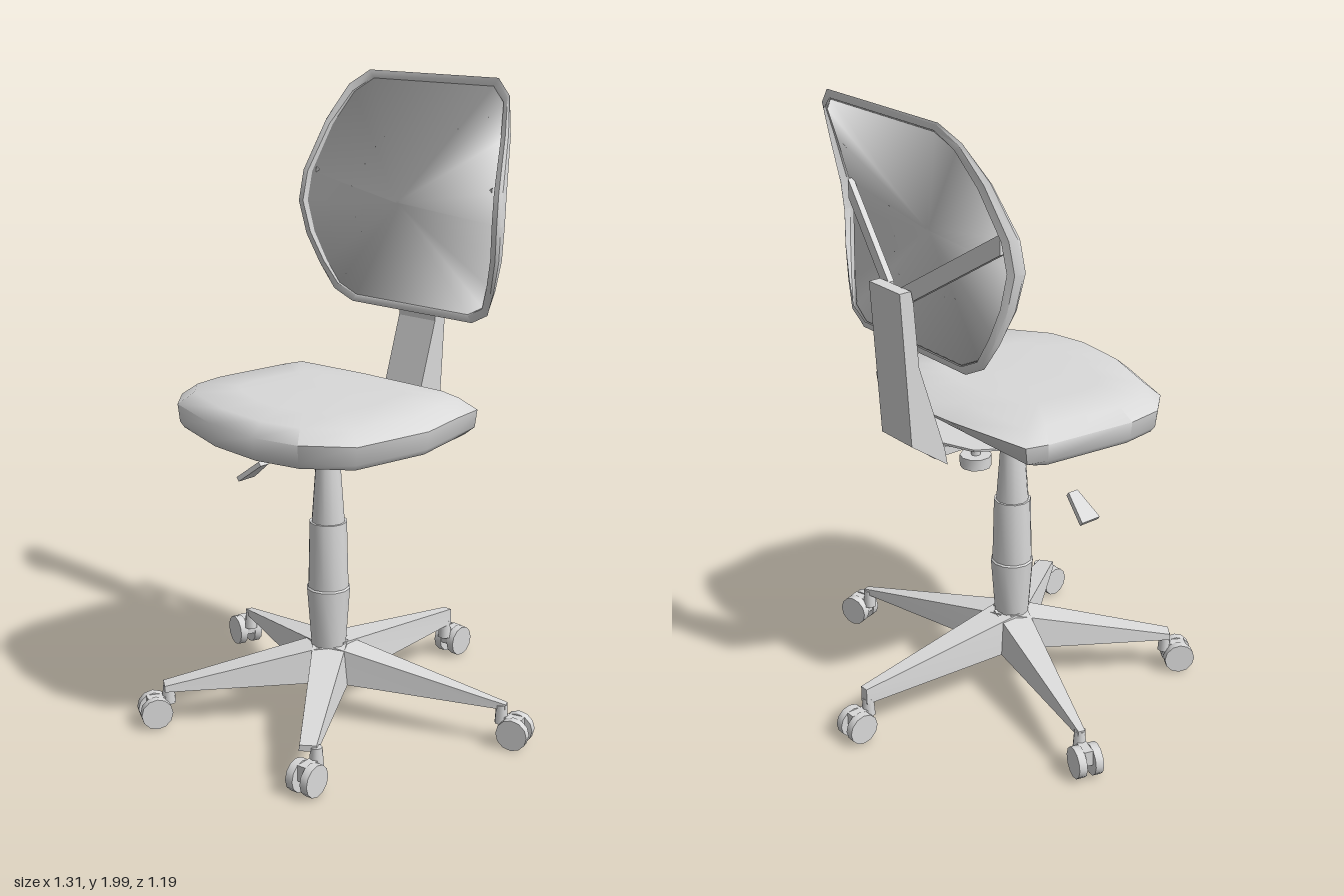
import * as THREE from 'three';
import { toCreasedNormals } from 'three/addons/utils/BufferGeometryUtils.js';

const grey = new THREE.MeshStandardMaterial({ color: 0xd9d9d9, side: THREE.DoubleSide });
grey.name = 'light grey';

function add(parent, name, geometry, x = 0, y = 0, z = 0) {
  const mesh = new THREE.Mesh(geometry, grey);
  mesh.name = name;
  mesh.position.set(x, y, z);
  parent.add(mesh);
  return mesh;
}

// Skin a row of equal-length rings, counter-clockwise seen from the end of the row
function loft(rings, capStart = true, capEnd = true, crease = 0.6) {
  const pos = [], index = [], n = rings[0].length;
  rings.forEach(r => r.forEach(p => pos.push(...p)));
  for (let k = 0; k < rings.length - 1; k++) {
    for (let i = 0; i < n; i++) {
      const a = k * n + i, b = k * n + (i + 1) % n;
      index.push(a, b, b + n, a, b + n, a + n);
    }
  }
  const cap = (k, flip) => {
    const c = pos.length / 3;
    pos.push(...[0, 1, 2].map(j => rings[k].reduce((s, p) => s + p[j], 0) / n));
    for (let i = 0; i < n; i++) {
      const a = k * n + i, b = k * n + (i + 1) % n;
      index.push(c, flip ? b : a, flip ? a : b);
    }
  };
  if (capStart) cap(0, true);
  if (capEnd) cap(rings.length - 1, false);
  const g = new THREE.BufferGeometry();
  g.setAttribute('position', new THREE.Float32BufferAttribute(pos, 3));
  g.setIndex(index);
  return toCreasedNormals(g, crease);
}

const ellipse = (rx, rz, y, cz, n = 10) => Array.from({ length: n }, (_, i) => {
  const a = (i + 0.5) / n * Math.PI * 2;
  return [rx * Math.cos(a), y, cz - rz * Math.sin(a)];
});

// Twin-wheel caster, rolling along its local z
function makeCaster() {
  const caster = new THREE.Group();
  caster.name = 'caster';
  for (const s of [-1, 1]) {
    const wheel = new THREE.CylinderGeometry(0.05, 0.05, 0.026, 12).rotateZ(Math.PI / 2);
    add(caster, 'wheel', toCreasedNormals(wheel, 0.7), s * 0.027, 0.055, 0);
  }
  add(caster, 'casterBody', new THREE.BoxGeometry(0.03, 0.05, 0.07), 0, 0.075, -0.01);
  add(caster, 'casterStem', new THREE.CylinderGeometry(0.018, 0.022, 0.06, 8), 0, 0.105, -0.045);
  return caster;
}

export function createModel() {
  const chair = new THREE.Group();
  chair.name = 'officeChair';

  // Five-legged base: leg reach, half width and height at the tip, caster swivel
  const base = new THREE.Group();
  base.name = 'base';
  base.position.z = 0.08;
  chair.add(base);
  const section = (bottom, top, yb, yt, z) =>
    [[bottom, yb, z], [top, yt, z], [-top, yt, z], [-bottom, yb, z]];
  const rear = { reach: 0.62, tip: 0.016, top: 0.175, swivel: 0 };
  const sideLeg = { reach: 0.625, tip: 0.012, top: 0.14, swivel: 0 };
  const frontLeft = { reach: 0.565, tip: 0.028, top: 0.142, swivel: -0.55 };
  const frontRight = { ...frontLeft, swivel: 0.1 };
  [rear, sideLeg, frontRight, frontLeft, sideLeg].forEach((leg, i) => {
    const arm = new THREE.Group();
    arm.name = 'baseArm';
    arm.rotation.y = Math.PI + i * Math.PI * 2 / 5;
    base.add(arm);
    add(arm, 'leg', loft([
      section(0.07, 0.055, 0.13, 0.25, 0),
      section(leg.tip, leg.tip * 0.9, 0.123, leg.top, leg.reach - 0.03),
    ]));
    const caster = makeCaster();
    caster.position.z = leg.reach;
    caster.rotation.y = leg.swivel;
    arm.add(caster);
  });

  // Telescopic column
  const profile = [[0.056, 0.24], [0.07, 0.43], [0.065, 0.435], [0.06, 0.65],
    [0.053, 0.65], [0.04, 0.83], [0.028, 0.835], [0.03, 0.9]];
  add(chair, 'column', toCreasedNormals(
    new THREE.LatheGeometry(profile.map(p => new THREE.Vector2(...p)), 12), 0.6), 0, 0, 0.09);

  // Support dish beneath the seat
  add(chair, 'seatSupport', loft([
    ellipse(0.045, 0.045, 0.87, 0.085), ellipse(0.22, 0.265, 0.933, 0.045),
    ellipse(0.22, 0.265, 0.94, 0.045),
  ]));

  // Seat cushion with upright sides, thinning to an edge at the rear
  const outline = [[-0.37, -0.17], [-0.08, -0.22], [0.13, -0.24], [0.29, -0.21], [0.385, -0.16],
    [0.4, -0.04], [0.43, 0.12], [0.385, 0.38], [0.25, 0.48], [0.1, 0.51], [-0.1, 0.49],
    [-0.33, 0.41], [-0.41, 0.32], [-0.425, 0.2], [-0.39, -0.1]];
  const seatRing = (s, y, back) => outline.map(([x, z]) =>
    [x * s, y, Math.max(0.14 + (z - 0.14) * s, back)]);
  add(chair, 'seat', loft([seatRing(0.55, 1.075, -0.1), seatRing(0.88, 1.067, -0.15),
    seatRing(1, 1.03, -0.24), seatRing(0.985, 0.975, -0.16),
    seatRing(0.955, 0.957, -0.12)], true, true, 1.05));

  // Bar and tightening knob under the rear of the seat
  add(chair, 'backBar', new THREE.BoxGeometry(0.08, 0.03, 0.22), 0, 0.917, -0.14);
  add(chair, 'knobStem', new THREE.CylinderGeometry(0.015, 0.015, 0.07, 8), 0, 0.875, -0.06);
  add(chair, 'knob', toCreasedNormals(
    new THREE.CylinderGeometry(0.05, 0.05, 0.037, 10), 0.7), 0, 0.83, -0.06);

  // Height lever paddle
  const lever = add(chair, 'lever', loft([
    [[0.045, -0.008, 0.018], [0.045, 0.008, 0.018], [0.045, 0.008, -0.018], [0.045, -0.008, -0.018]],
    [[-0.062, -0.008, 0.036], [-0.062, 0.008, 0.036], [-0.062, 0.008, -0.036], [-0.062, -0.008, -0.036]],
  ]), -0.32, 0.75, 0.09);
  lever.rotation.z = 0.66;

  // Upright post, drawn from the side
  const side = [[-0.352, 1.47], [-0.344, 1.43], [-0.328, 1.23], [-0.238, 0.945],
    [-0.228, 0.89], [-0.36, 0.985], [-0.392, 1.47]];
  const post = new THREE.ExtrudeGeometry(
    new THREE.Shape(side.map(p => new THREE.Vector2(...p))), { depth: 0.15, bevelEnabled: false });
  add(chair, 'backPost', post.rotateY(-Math.PI / 2).translate(0.075, 0, 0));

  // Backrest frame: bowed in height, deepest at mid height, with an inner lip
  const half = [[0.25, 1.255], [0.32, 1.29], [0.36, 1.37], [0.395, 1.47], [0.412, 1.58],
    [0.405, 1.68], [0.37, 1.84], [0.325, 1.95], [0.26, 1.997]];
  const loop = [...half, ...half.map(([x, y]) => [-x, y]).reverse()];
  const bow = y => y > 1.6 ? -0.205 - 0.185 * ((y - 1.6) / 0.4) ** 1.5
    : -0.205 - 0.09 * ((1.6 - y) / 0.35) ** 1.6;
  const backRing = (s, depth) => loop.map(([x, y]) => {
    const thin = 1.05 - ((y - 1.62) / 0.38) ** 2;
    return [x * s, 1.61 + (y - 1.61) * s, bow(y) - depth * thin];
  });
  add(chair, 'backFrame', loft([backRing(0.94, 0.05), backRing(0.985, 0.038), backRing(1, 0.012),
    backRing(0.985, 0), backRing(0.94, 0), backRing(0.93, 0.02)], false, false, 0.7));

  // Thin backrest panel: front and back sheets meeting in one rounded edge
  const hub = z => loop.map(([x, y]) => [x * 0.02, 1.61 + (y - 1.61) * 0.02, z]);
  add(chair, 'backPanel', loft([hub(-0.234), backRing(0.935, 0.018), hub(-0.228)],
    true, true, Math.PI));

  // Two arms spreading from the post to the sides of the backrest
  for (const s of [-1, 1]) {
    const blade = (x, y, z, h) => [[s * x, y - h, z - 0.01], [s * x, y - h, z + 0.01],
      [s * x, y + h, z + 0.01], [s * x, y + h, z - 0.01]];
    const rings = [blade(0.03, 1.44, -0.345, 0.03), blade(0.36, 1.66, -0.25, 0.03)];
    add(chair, 'backArm', loft(s > 0 ? rings.map(r => r.reverse()) : rings));
  }
  return chair;
}
